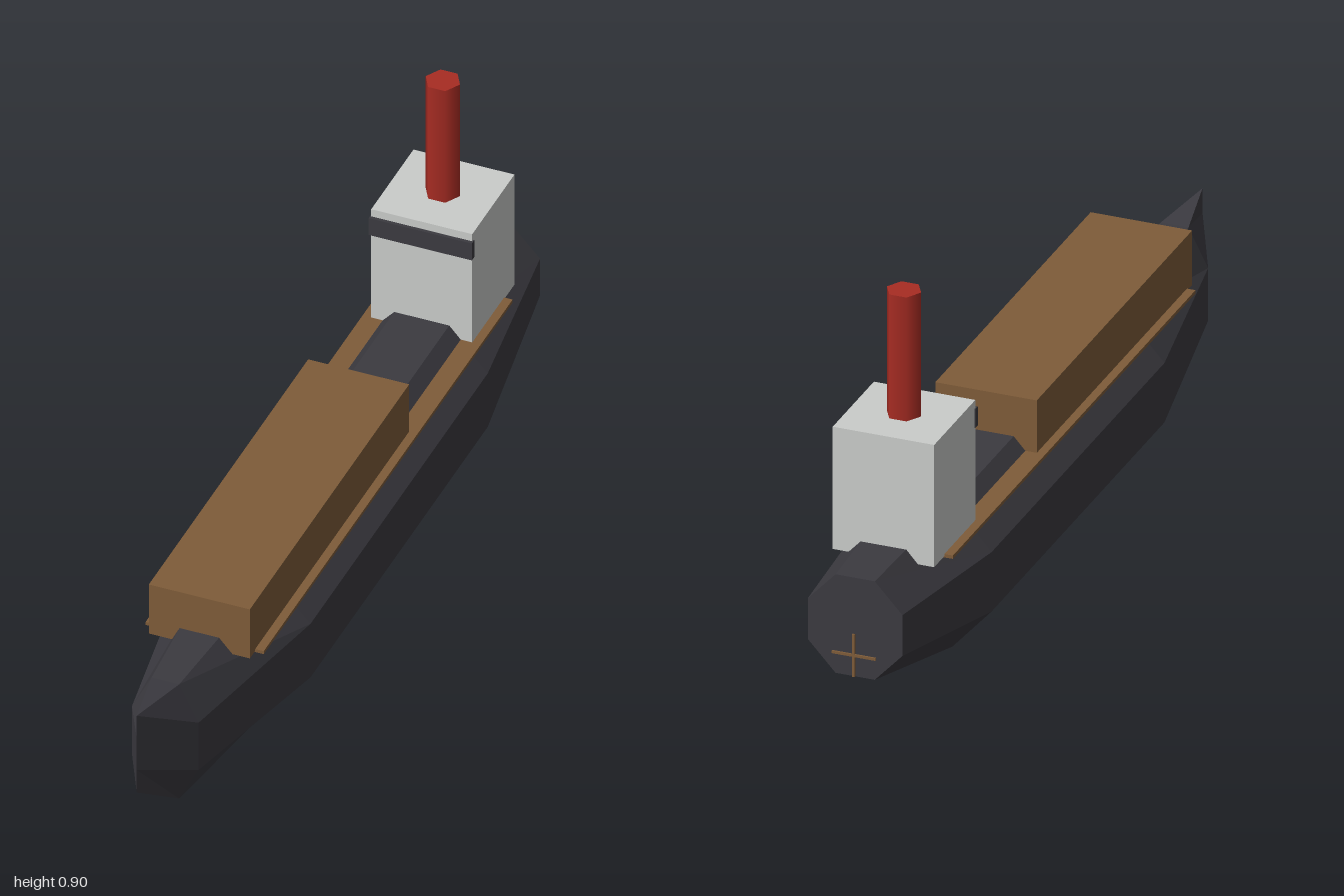
import * as THREE from 'three';

const mat = (name, color) => {
  const m = new THREE.MeshStandardMaterial({ color });
  m.name = name;
  return m;
};

// Hull: octagonal rings lofted from stern to bow
function hullGeometry() {
  // z, half width, bottom y, top y
  const stations = [
    [-0.99, 0.11, 0.1, 0.337],
    [-0.59, 0.155, 0, 0.345],
    [0.4, 0.155, 0, 0.345],
    [0.84, 0.078, 0.04, 0.345],
    [1, 0, 0.155, 0.36],
  ];
  const k = 1 / Math.cos(Math.PI / 8);
  const rings = stations.map(([z, w, y0, y1]) =>
    Array.from({ length: 8 }, (_, i) => {
      const a = ((i + 0.5) * Math.PI) / 4;
      return [Math.cos(a) * w * k, (y0 + y1) / 2 + (Math.sin(a) * (y1 - y0) * k) / 2, z];
    }));
  const pos = [];
  const tri = (...points) => points.forEach((p) => pos.push(...p));
  for (let s = 0; s < rings.length - 1; s++) {
    for (let i = 0; i < 8; i++) {
      const j = (i + 1) % 8;
      const a = rings[s][i], b = rings[s][j], c = rings[s + 1][j], d = rings[s + 1][i];
      tri(a, b, c);
      tri(a, c, d);
    }
  }
  // Flat transom
  for (let i = 1; i < 7; i++) tri(rings[0][0], rings[0][i + 1], rings[0][i]);
  const g = new THREE.BufferGeometry();
  g.setAttribute('position', new THREE.Float32BufferAttribute(pos, 3));
  g.computeVertexNormals();
  return g;
}

export function createModel() {
  const group = new THREE.Group();
  group.name = 'cargoShip';
  const dark = mat('darkHull', 0x3b3a40);
  const brown = mat('brownWood', 0x7f5c39);
  const white = mat('offWhite', 0xcaccca);
  const red = mat('funnelRed', 0xa82c23);

  const add = (name, geometry, material, x = 0, y = 0, z = 0) => {
    const mesh = new THREE.Mesh(geometry, material);
    mesh.name = name;
    mesh.position.set(x, y, z);
    group.add(mesh);
  };
  // Box centred on x, given its y and z limits
  const box = (name, material, w, y0, y1, z0, z1) =>
    add(name, new THREE.BoxGeometry(w, y1 - y0, z1 - z0), material, 0, (y0 + y1) / 2, (z0 + z1) / 2);

  add('hull', hullGeometry(), dark);
  box('deck', brown, 0.276, 0.307, 0.315, -0.77, 0.62);
  box('cargoHold', brown, 0.236, 0.31, 0.441, -0.24, 0.65);
  box('cabin', white, 0.236, 0.31, 0.604, -0.828, -0.592);
  box('bridgeWindow', dark, 0.241, 0.54, 0.585, -0.598, -0.584);

  // Six-sided funnel with corners pointing sideways
  add('funnel', new THREE.CylinderGeometry(0.04, 0.04, 0.3, 6, 1, false, Math.PI / 6), red, 0, 0.752, -0.71);

  // Crossed propeller blades behind the transom
  box('propellerBladeVertical', brown, 0.006, 0.103, 0.205, -1, -0.996);
  box('propellerBladeHorizontal', brown, 0.102, 0.151, 0.157, -1, -0.996);
  return group;
}
